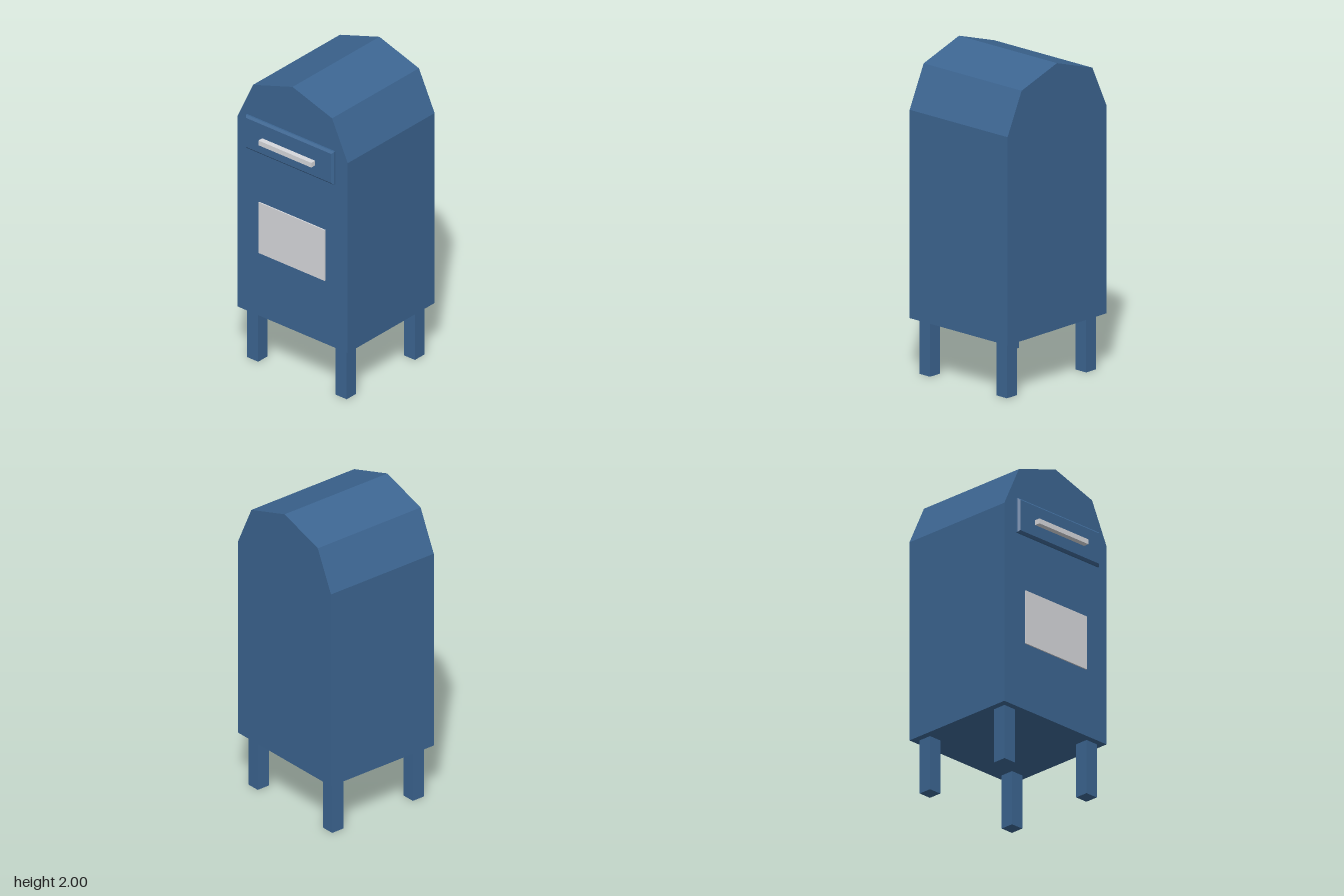
import * as THREE from 'three';

export function createModel() {
  const model = new THREE.Group();
  model.name = 'mailbox';

  const blue = new THREE.MeshStandardMaterial({ color: 0x3c6591 });
  blue.name = 'blue paint';
  const grey = new THREE.MeshStandardMaterial({ color: 0xd6d7db });
  grey.name = 'light grey';

  const add = (name, geometry, material, x, y, z) => {
    const mesh = new THREE.Mesh(geometry, material);
    mesh.name = name;
    mesh.position.set(x, y, z);
    model.add(mesh);
    return mesh;
  };
  const shapeOf = (points) => new THREE.Shape(points.map(([x, y]) => new THREE.Vector2(x, y)));

  // Body: faceted arch profile extruded from back to front
  const profile = shapeOf([
    [-0.43, 0.347], [0.43, 0.347], [0.43, 1.64], [0.308, 1.9],
    [0, 2], [-0.308, 1.9], [-0.43, 1.64],
  ]);
  add('body', new THREE.ExtrudeGeometry(profile, { depth: 0.79, bevelEnabled: false }), blue, 0, 0, -0.43);

  // Four square legs
  for (const [side, x] of [['left', 0.345], ['right', -0.345]]) {
    for (const [end, z] of [['Front', 0.277], ['Back', -0.343]]) {
      add(side + end + 'Leg', new THREE.BoxGeometry(0.086, 0.347, 0.086), blue, x, 0.1735, z);
    }
  }

  // Mail flap with chamfered edges
  const w = 0.331, h = 0.099;
  const flapShape = shapeOf([[-w, -h], [w, -h], [w, h], [-w, h]]);
  const flap = new THREE.ExtrudeGeometry(flapShape, {
    depth: 0.011, bevelThickness: 0.012, bevelSize: 0.013, bevelSegments: 1,
  });
  add('flap', flap, blue, 0, 1.582, 0.372);

  // Pull handle on the flap
  add('handle', new THREE.BoxGeometry(0.412, 0.032, 0.036), grey, 0, 1.573, 0.412);

  // Notice plate on the front
  add('noticePlate', new THREE.BoxGeometry(0.515, 0.345, 0.008), grey, 0, 0.95, 0.364);

  return model;
}
